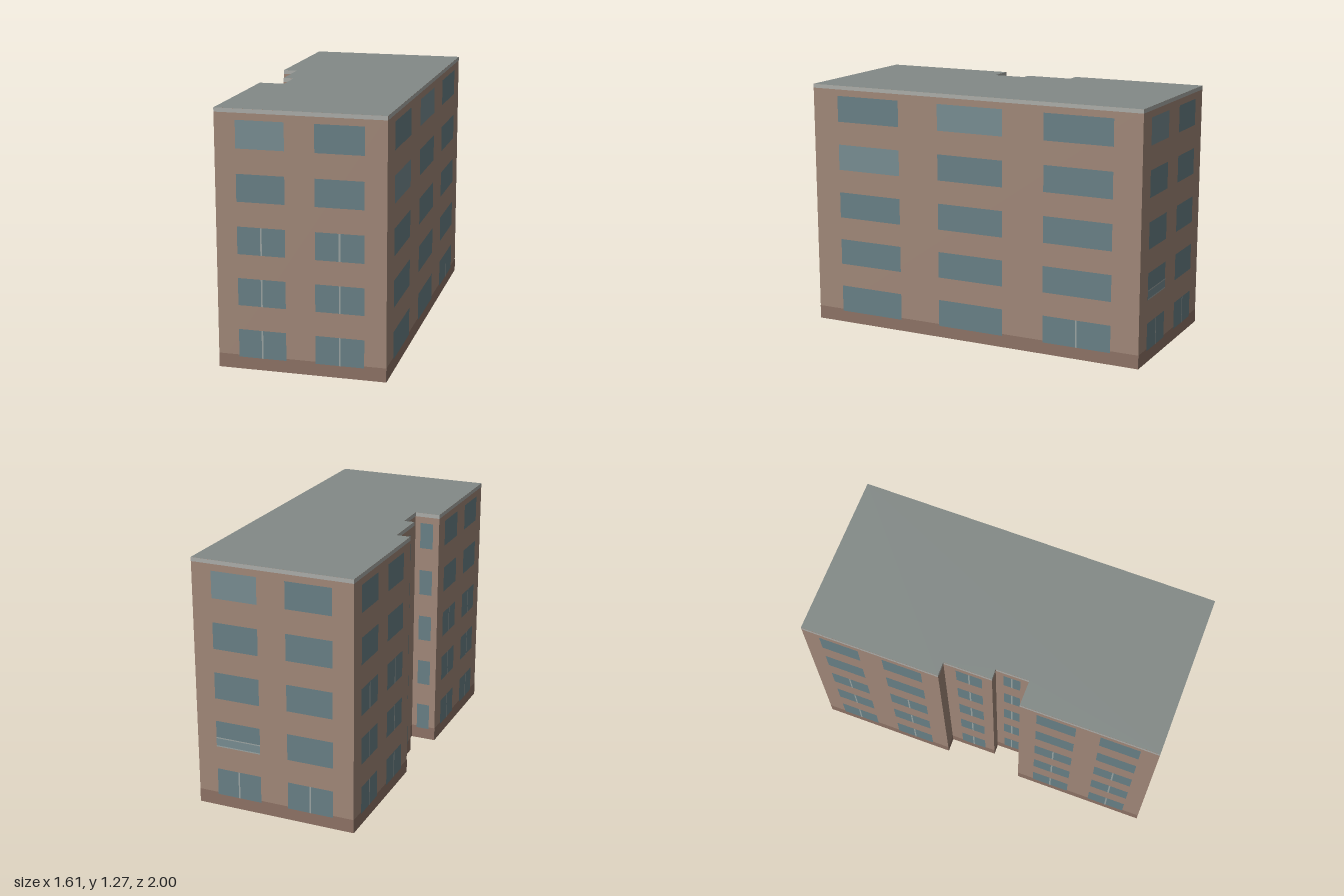
import * as THREE from 'three';

// Footprint corners (x, z), running front-left, front, right, back, then the stepped side
const plan = [
  [-0.805, 0.59], [-0.087, 1.00], [0.803, -0.59], [0.085, -1.00], [-0.26, -0.381],
  [-0.197, -0.347], [-0.317, -0.13], [-0.27, -0.105], [-0.352, 0.045], [-0.465, -0.02],
];
const height = 1.27, plinthTop = 0.07, trimBottom = 1.25;
const floors = [[0.06, 0.2], [0.32, 0.455], [0.573, 0.708], [0.828, 0.962], [1.082, 1.217]];

// Window spans as fractions of each wall; mullioned and pale list "floor,column" pairs
const pair = [[0.125, 0.41], [0.585, 0.872]];
const lower = ['0,0', '0,1', '1,0', '1,1', '2,0', '2,1'];
const all = ['0,0', '1,0', '2,0', '3,0', '4,0'];
const facades = {
  0: { spans: pair, mullioned: lower, pale: ['4,0'] },
  1: { spans: [[0.08, 0.277], [0.4, 0.599], [0.721, 0.92]], mullioned: ['0,2'], pale: ['4,1', '3,0'] },
  2: { spans: pair, mullioned: ['0,0', '0,1'], pale: ['4,0'] },
  3: { spans: pair, mullioned: lower, pale: [] },
  5: { spans: [[0.25, 0.79]], mullioned: all, pale: [] },
  7: { spans: [[0.24, 0.74]], mullioned: all, pale: [] },
  8: { spans: [[0.22, 0.75]], mullioned: [], pale: [] },
  9: { spans: pair, mullioned: lower, pale: [] },
};

const mat = (color, side = THREE.FrontSide) => new THREE.MeshStandardMaterial({ color, side });
const mats = {
  wall: mat(0xa08778, THREE.DoubleSide), roof: mat(0x838a87, THREE.DoubleSide),
  plinth: mat(0x8d7265), trim: mat(0xabaca8),
  glass: mat(0x687f85), paleGlass: mat(0x778c91), frame: mat(0x9aa3a1),
};

export function createModel() {
  const model = new THREE.Group();

  // Upright rectangle on wall i between fractions t0..t1 and heights y0..y1
  function panel(name, material, i, t0, t1, y0, y1, out = 0) {
    const [ax, az] = plan[i], [bx, bz] = plan[(i + 1) % plan.length];
    const dx = bx - ax, dz = bz - az, len = Math.hypot(dx, dz), t = (t0 + t1) / 2;
    const mesh = new THREE.Mesh(new THREE.PlaneGeometry((t1 - t0) * len, y1 - y0), material);
    mesh.name = name;
    mesh.rotation.y = Math.atan2(-dz, dx);
    mesh.position.set(ax + dx * t - dz / len * out, (y0 + y1) / 2, az + dz * t + dx / len * out);
    model.add(mesh);
  }

  // Walls, open at the bottom, with a darker plinth and a pale roof trim
  plan.forEach((_, i) => {
    panel('wall', mats.wall, i, 0, 1, 0, height);
    panel('plinth', mats.plinth, i, 0, 1, 0, plinthTop, 0.001);
    panel('roofTrim', mats.trim, i, 0, 1, trimBottom, height, 0.001);
  });

  // Windows and their centre mullions
  for (const [key, { spans, mullioned, pale }] of Object.entries(facades)) {
    const i = Number(key), [ax, az] = plan[i], [bx, bz] = plan[(i + 1) % plan.length];
    const half = 0.004 / Math.hypot(bx - ax, bz - az);
    floors.forEach(([y0, y1], f) => spans.forEach(([t0, t1], c) => {
      const id = `${f},${c}`, mid = (t0 + t1) / 2;
      panel('window', pale.includes(id) ? mats.paleGlass : mats.glass, i, t0, t1, y0, y1, 0.002);
      if (mullioned.includes(id)) panel('mullion', mats.frame, i, mid - half, mid + half, y0, y1, 0.003);
    }));
  }

  // Flat balcony guard on the back wall
  const [g0, g1] = pair[0];
  panel('balconyGlass', mats.paleGlass, 2, g0, g1, 0.32, 0.368, 0.003);
  panel('balconyRail', mats.frame, 2, g0, g1, 0.364, 0.37, 0.004);
  panel('balconyRail', mats.frame, 2, g0, g1, 0.32, 0.326, 0.004);

  // Flat roof
  const shape = new THREE.Shape(plan.map(([x, z]) => new THREE.Vector2(x, -z)));
  const roof = new THREE.Mesh(new THREE.ShapeGeometry(shape).rotateX(-Math.PI / 2), mats.roof);
  roof.name = 'roof';
  roof.position.y = height;
  model.add(roof);
  return model;
}
